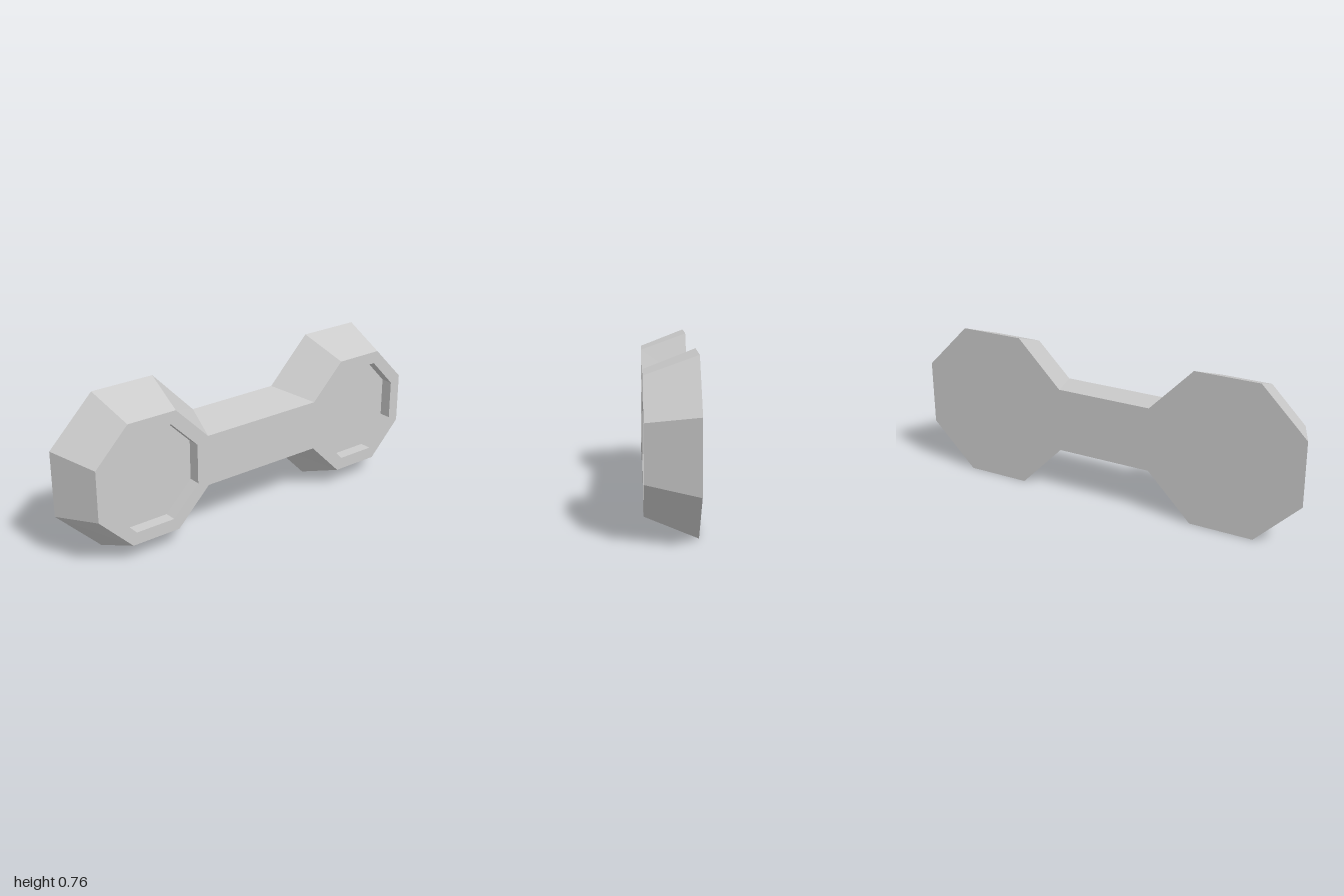
import * as THREE from 'three';

const HALF = 0.115; // half thickness along x
const DEPTH = 0.06; // depth of the recesses
const MID = 0.382; // height of the long axis

// Eight corners of one end, counter-clockwise, starting at the inner lower corner
function octagon({ inner, t1, t2, outer, half, flat }) {
  return [
    [inner, -flat], [t1, -half], [t2, -half], [outer, -flat],
    [outer, flat], [t2, half], [t1, half], [inner, flat],
  ].map(([s, y]) => new THREE.Vector2(s, y + MID));
}

// Mirror a loop to the other end, keeping it counter-clockwise
const mirror = (pts) => pts.map((p) => new THREE.Vector2(-p.x, p.y)).reverse();

// Flat-sided wall between two matching loops at depths z0 and z1
function wall(low, z0, high, z1, inward = false) {
  const pos = [];
  const n = low.length;
  for (let i = 0; i < n; i++) {
    const j = (i + 1) % n;
    const a = [low[i].x, low[i].y, z0], b = [low[j].x, low[j].y, z0];
    const c = [high[j].x, high[j].y, z1], d = [high[i].x, high[i].y, z1];
    const quad = inward ? [a, c, b, a, d, c] : [a, b, c, a, c, d];
    pos.push(...quad.flat());
  }
  const geo = new THREE.BufferGeometry();
  geo.setAttribute('position', new THREE.Float32BufferAttribute(pos, 3));
  geo.computeVertexNormals();
  return geo;
}

export function createModel() {
  const group = new THREE.Group();
  group.name = 'dumbbell';
  const material = new THREE.MeshStandardMaterial({ color: 0xcccccc, flatShading: true });

  // Profiles are drawn in xy and extruded along z, then turned to face +x
  const add = (name, geo) => {
    geo.rotateY(Math.PI / 2);
    const mesh = new THREE.Mesh(geo, material);
    mesh.name = name;
    group.add(mesh);
  };

  const backEnd = octagon({ inner: 0.24, t1: 0.46, t2: 0.777, outer: 1, half: 0.382, flat: 0.159 });
  const frontEnd = octagon({ inner: 0.322, t1: 0.494, t2: 0.743, outer: 0.912, half: 0.295, flat: 0.124 });
  const rim = octagon({ inner: 0.382, t1: 0.521, t2: 0.722, outer: 0.855, half: 0.235, flat: 0.097 });
  const back = [...backEnd, ...mirror(backEnd)];
  const front = [...frontEnd, ...mirror(frontEnd)];
  const rims = [rim, mirror(rim)];

  // Bevelled sides of the bar and both ends
  add('bevelledSides', wall(back, -HALF, front, HALF));

  // Large flat face
  const backFace = new THREE.ShapeGeometry(new THREE.Shape(back));
  backFace.rotateY(Math.PI).translate(0, 0, -HALF); // outline is symmetric
  add('flatFace', backFace);

  // Smaller face with an opening in each end
  const shape = new THREE.Shape(front);
  rims.forEach((r) => shape.holes.push(new THREE.Path(r)));
  add('recessedFace', new THREE.ShapeGeometry(shape).translate(0, 0, HALF));

  // Recess walls and floors
  rims.forEach((r, i) => {
    const side = i ? 'front' : 'back';
    add(`${side}RecessWall`, wall(r, HALF - DEPTH, r, HALF, true));
    add(`${side}RecessFloor`, new THREE.ShapeGeometry(new THREE.Shape(r)).translate(0, 0, HALF - DEPTH));
  });

  return group;
}
